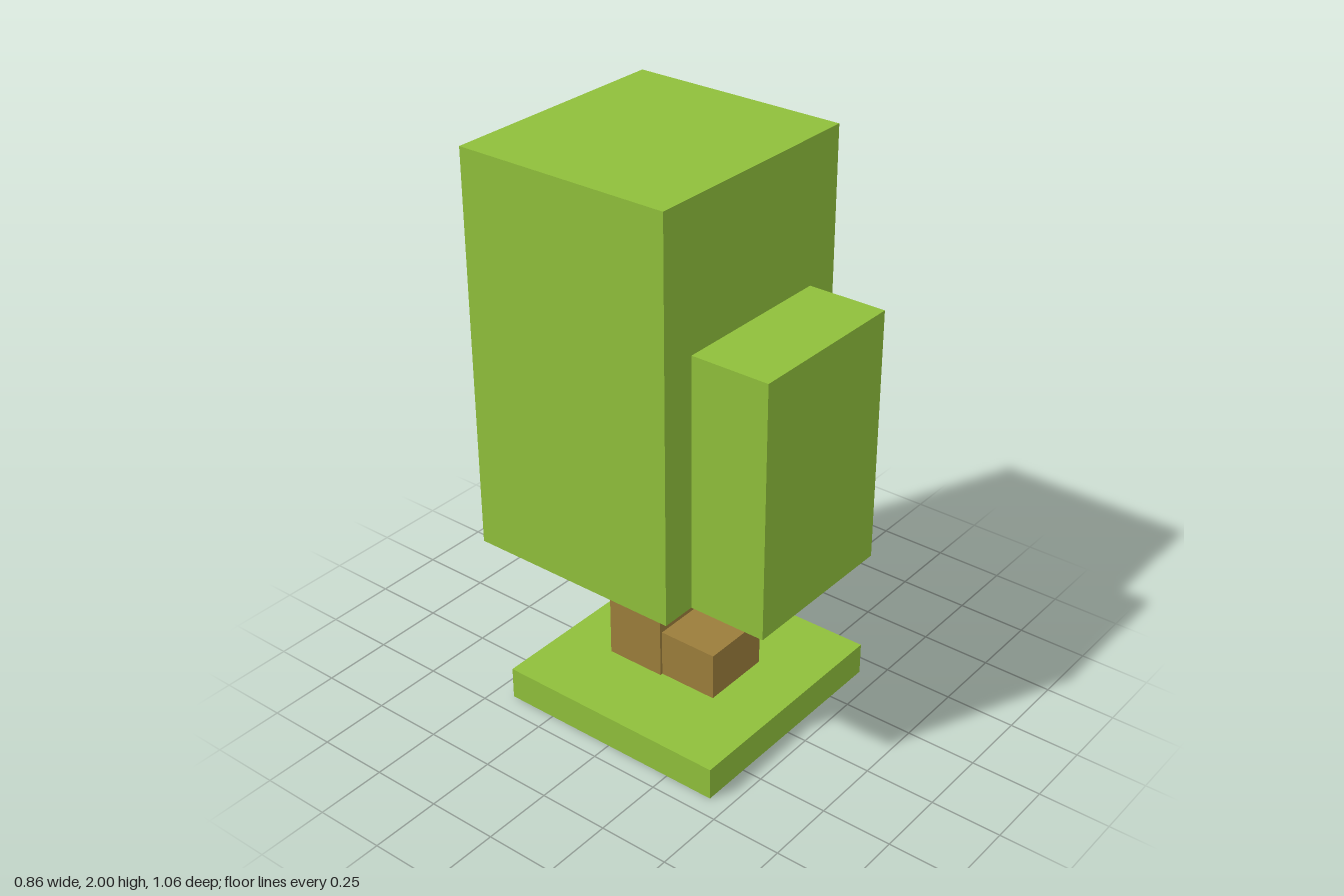
import * as THREE from 'three';

const foliage = new THREE.MeshStandardMaterial({ color: 0x8fbf3b, side: THREE.DoubleSide });
foliage.name = 'leaf green';
const bark = new THREE.MeshStandardMaterial({ color: 0x9b7d3b, side: THREE.DoubleSide });
bark.name = 'bark brown';

// Box given by its min and max corners; openBottom leaves out the underside.
function block(name, material, [x0, y0, z0], [x1, y1, z1], openBottom = false) {
  const geometry = new THREE.BoxGeometry(x1 - x0, y1 - y0, z1 - z0);
  geometry.translate((x0 + x1) / 2, (y0 + y1) / 2, (z0 + z1) / 2);
  if (openBottom) {
    const index = Array.from(geometry.index.array);
    index.splice(18, 6); // the -y face
    geometry.setIndex(index);
    geometry.clearGroups();
  }
  const mesh = new THREE.Mesh(geometry, material);
  mesh.name = name;
  return mesh;
}

export function createModel() {
  const tree = new THREE.Group();
  tree.name = 'blockTree';
  tree.add(
    // Hollow grass slab, open underneath
    block('grassBase', foliage, [-0.429, 0, -0.429], [0.429, 0.117, 0.429], true),
    // Trunk and root run down through the slab and are open underneath
    block('trunk', bark, [-0.14, 0, -0.23], [0.14, 0.6, -0.01], true),
    block('root', bark, [-0.13, 0, -0.01], [0.13, 0.29, 0.208], true),
    // Crown with a smaller block of leaves in front
    block('crown', foliage, [-0.427, 0.6, -0.53], [0.427, 2, 0.25]),
    block('frontLeaves', foliage, [-0.3, 0.6, 0.25], [0.3, 1.5, 0.53]),
  );
  return tree;
}
